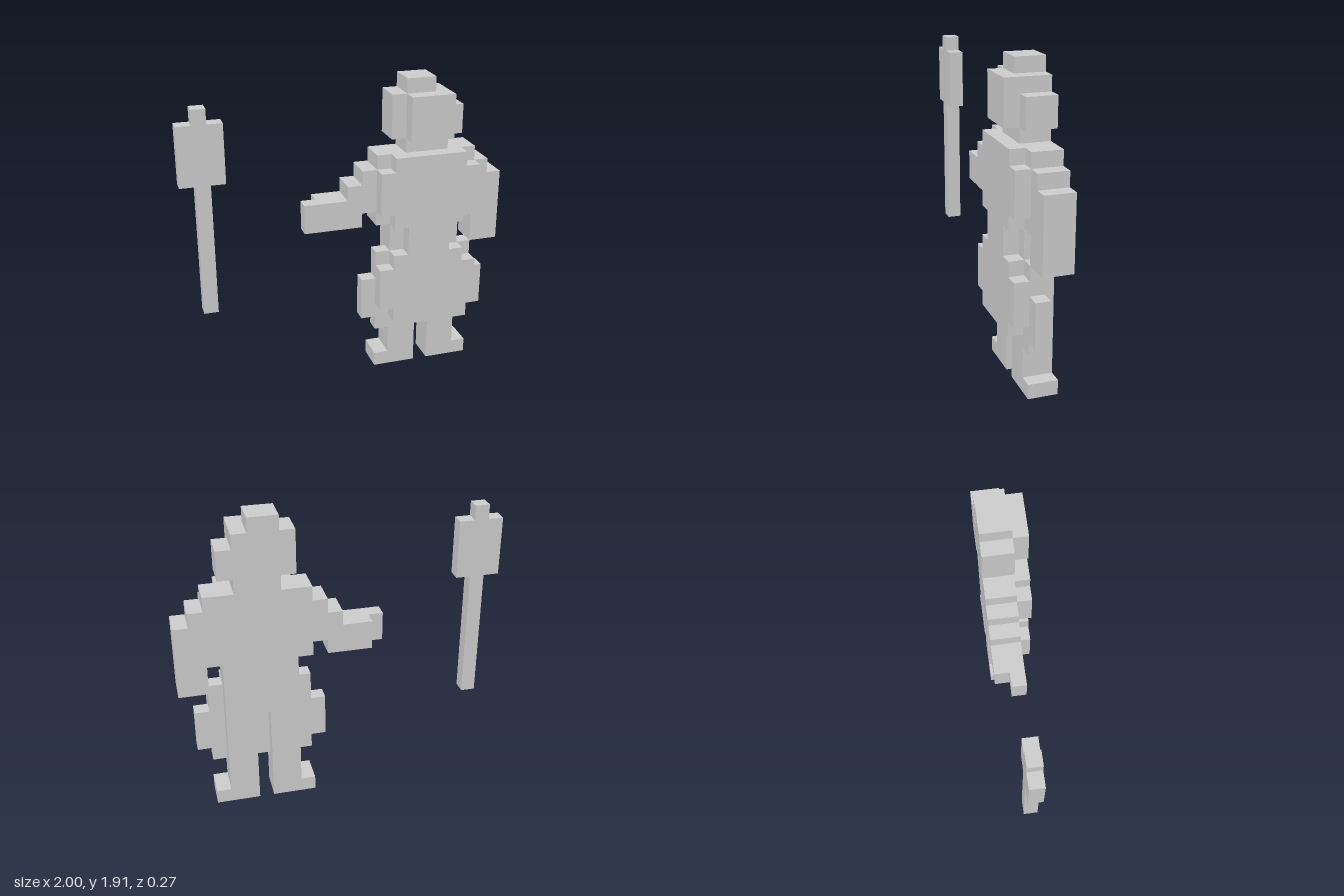
import * as THREE from 'three';

const U = 1 / 11; // one block
// Depth ranges in blocks, from back to front
const BODY = [-1.5, 0.5], MIDDLE = [-0.5, 0.5], FRONT = [0.5, 1.5], STAFF = [-0.6, 0.35];

const material = new THREE.MeshStandardMaterial({ color: 0xcccccc, flatShading: true });

// Stepped slab: rows are [bottom, top, left, right] in blocks, stacked upwards
function slab(name, rows, [z0, z1]) {
  const points = [];
  for (const [y0, y1, , x1] of rows) {
    points.push(new THREE.Vector2(x1 * U, y0 * U), new THREE.Vector2(x1 * U, y1 * U));
  }
  for (const [y0, y1, x0] of [...rows].reverse()) {
    points.push(new THREE.Vector2(x0 * U, y1 * U), new THREE.Vector2(x0 * U, y0 * U));
  }
  // Drop repeated corners where neighbouring rows line up
  const outline = points.filter((p, i) => !p.equals(points[(i + 1) % points.length]));
  const geometry = new THREE.ExtrudeGeometry(new THREE.Shape(outline), {
    depth: (z1 - z0) * U, bevelEnabled: false,
  });
  geometry.translate(0, 0, z0 * U);
  const mesh = new THREE.Mesh(geometry, material);
  mesh.name = name;
  return mesh;
}

// Mirror rows across the figure's centre line
const mirror = (rows) => rows.map(([y0, y1, x0, x1]) => [y0, y1, 11 - x1, 11 - x0]);

export function createModel() {
  const model = new THREE.Group();
  model.name = 'blockFigureWithStaff';

  const figure = new THREE.Group();
  figure.name = 'figure';
  const leg = [[0, 1, 2, 5], [1, 7, 3, 5]];
  figure.add(
    // Legs with outward feet
    slab('rightLeg', leg, BODY),
    slab('leftLeg', mirror(leg), BODY),
    // Torso, narrow at the waist
    slab('torso', [[7, 11, 3, 8], [11, 16, 2, 9]], BODY),
    // Raised right arm with a thinner hand tip
    slab('rightArm', [[11, 12, -2, 1], [12, 13, -2, 2], [13, 14, 0, 2], [14, 15, 1, 2]], BODY),
    slab('rightHand', [[11, 13, -3, -2]], MIDDLE),
    // Hanging left arm
    slab('leftArm', [[9, 14, 9, 11], [14, 15, 9, 10]], BODY),
    // Neck, head and cap
    slab('head', [[16, 17, 4, 7], [17, 19, 3, 8], [19, 20, 3, 7], [20, 21, 4, 6]], BODY),
    slab('face', [[17, 20, 4, 7]], FRONT),
    // Skirt and the raised front layer
    slab('skirt', [[3, 4, 2, 9], [4, 7, 1, 10], [7, 9, 2, 9]], MIDDLE),
    slab('apron', [
      [4, 5, 3, 8], [5, 8, 2, 9], [8, 9, 3, 8], [9, 11, 4, 7],
      [11, 12, 3, 8], [12, 15, 2, 9], [15, 16, 3, 8],
    ], FRONT),
  );

  // Free-standing staff: handle, block head and tip
  const staff = new THREE.Group();
  staff.name = 'staff';
  staff.add(
    slab('staffHandle', [[6.05, 15.05, -9.97, -9]], STAFF),
    slab('staffHead', [[15.05, 19.05, -11, -8.03], [19.05, 20.05, -10, -9.05]], STAFF),
  );

  model.add(figure, staff);
  return model;
}
